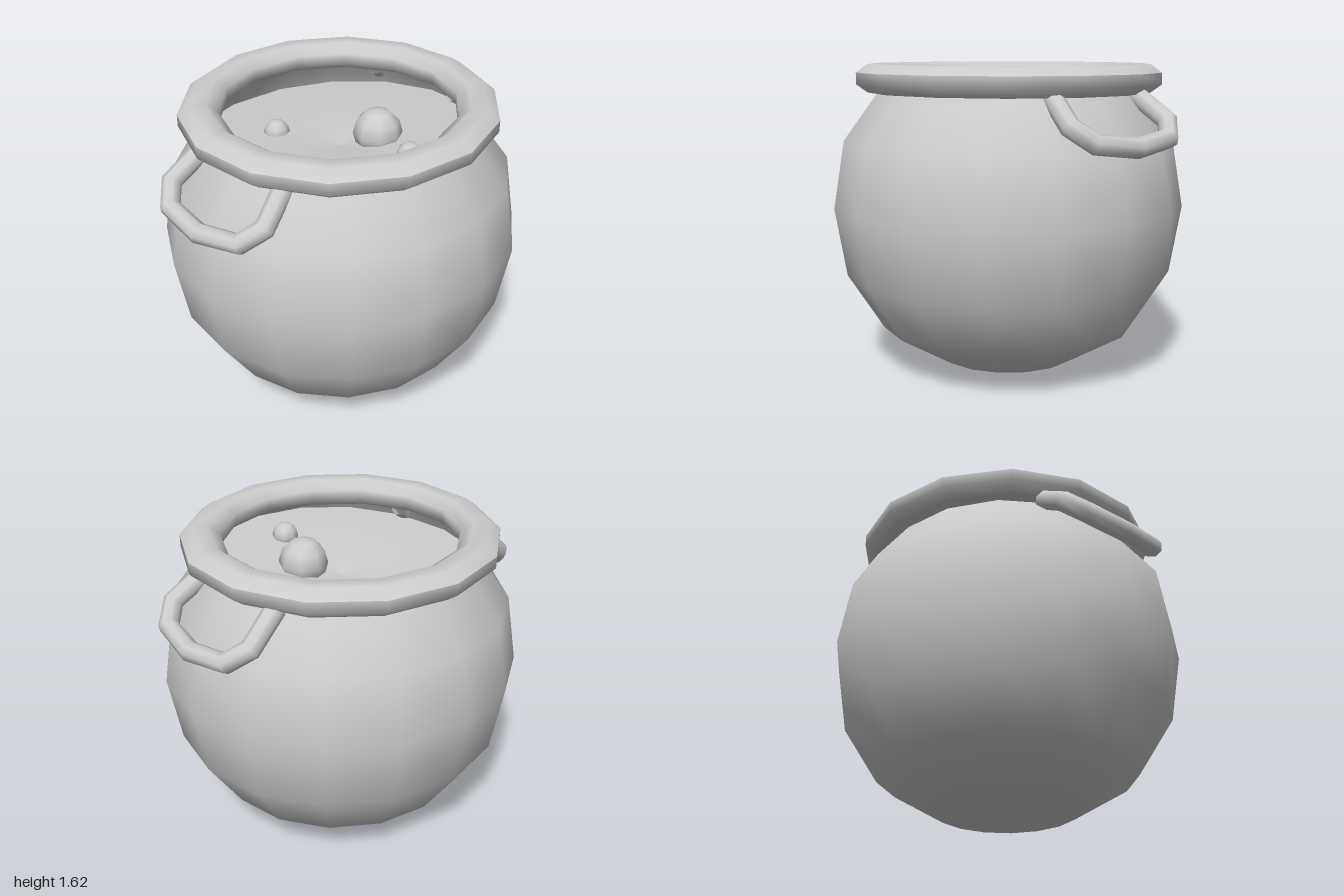
import * as THREE from 'three';

const V2 = (p) => new THREE.Vector2(p[0], p[1]);

export function createModel() {
  const group = new THREE.Group();
  const grey = new THREE.MeshStandardMaterial({ color: 0xcccccc, side: THREE.DoubleSide });
  grey.name = 'plainGrey';

  const add = (name, geometry, x = 0, y = 0, z = 0) => {
    const mesh = new THREE.Mesh(geometry, grey);
    mesh.name = name;
    mesh.position.set(x, y, z);
    group.add(mesh);
    return mesh;
  };

  // Round pot body, open at the top
  const profile = [[0, 0], [0.38, 0.04], [0.693, 0.225], [0.885, 0.524],
    [0.945, 0.88], [0.885, 1.235], [0.665, 1.53]];
  add('potBody', new THREE.LatheGeometry(profile.map(V2), 16)).scale.z = 0.98;

  // Thick rim with a flattened octagonal section
  const section = [];
  for (let i = 0; i <= 8; i++) {
    const a = Math.PI / 8 + (i * Math.PI) / 4;
    section.push(new THREE.Vector2(0.713 + 0.11 * Math.cos(a), 1.552 + 0.079 * Math.sin(a)));
  }
  add('rim', new THREE.LatheGeometry(section, 14), 0, 0, -0.01).scale.z = 0.985;

  // Liquid: a shallow dish, slightly higher at the front, meeting the pot wall
  const liquid = new THREE.LatheGeometry([[0.77, 0], [0.5, 0], [0.25, -0.01], [0, -0.04]].map(V2), 16);
  const pos = liquid.attributes.position;
  for (let i = 0; i < pos.count; i++) {
    const x = pos.getX(i), z = pos.getZ(i);
    const y = 1.38 + pos.getY(i) + 0.09 * z;
    const edge = Math.hypot(x, z) > 0.7 ? (0.88 - (y - 1.235) * 0.75) / 0.77 : 1;
    pos.setXYZ(i, x * edge, y, z * edge * 0.98);
  }
  liquid.computeVertexNormals();
  add('liquid', liquid);

  // Bubbles floating on the liquid
  [[0.135, 1.41, 0.13, 0.128], [-0.115, 1.34, -0.35, 0.07], [0.017, 1.43, 0.43, 0.07]]
    .forEach(([x, y, z, r]) => add('bubble', new THREE.SphereGeometry(r, 8, 6), x, y, z));

  // Sloping loop handles, one vertex ring per path point
  for (const side of [1, -1]) {
    const half = [[0.65, 1.48, 0.27], [0.83, 1.355, 0.315], [0.915, 1.28, 0.235]];
    const path = [...half, [0.95, 1.252, 0], ...half.map(([x, y, z]) => [x, y, -z]).reverse()];
    const curve = new THREE.CatmullRomCurve3(
      path.map(([x, y, z]) => new THREE.Vector3(side * x, y, z - 0.037)));
    curve.getPointAt = curve.getPoint;
    curve.getTangentAt = curve.getTangent;
    add(side > 0 ? 'leftHandle' : 'rightHandle',
      new THREE.TubeGeometry(curve, path.length - 1, 0.051, 8));
  }
  return group;
}
